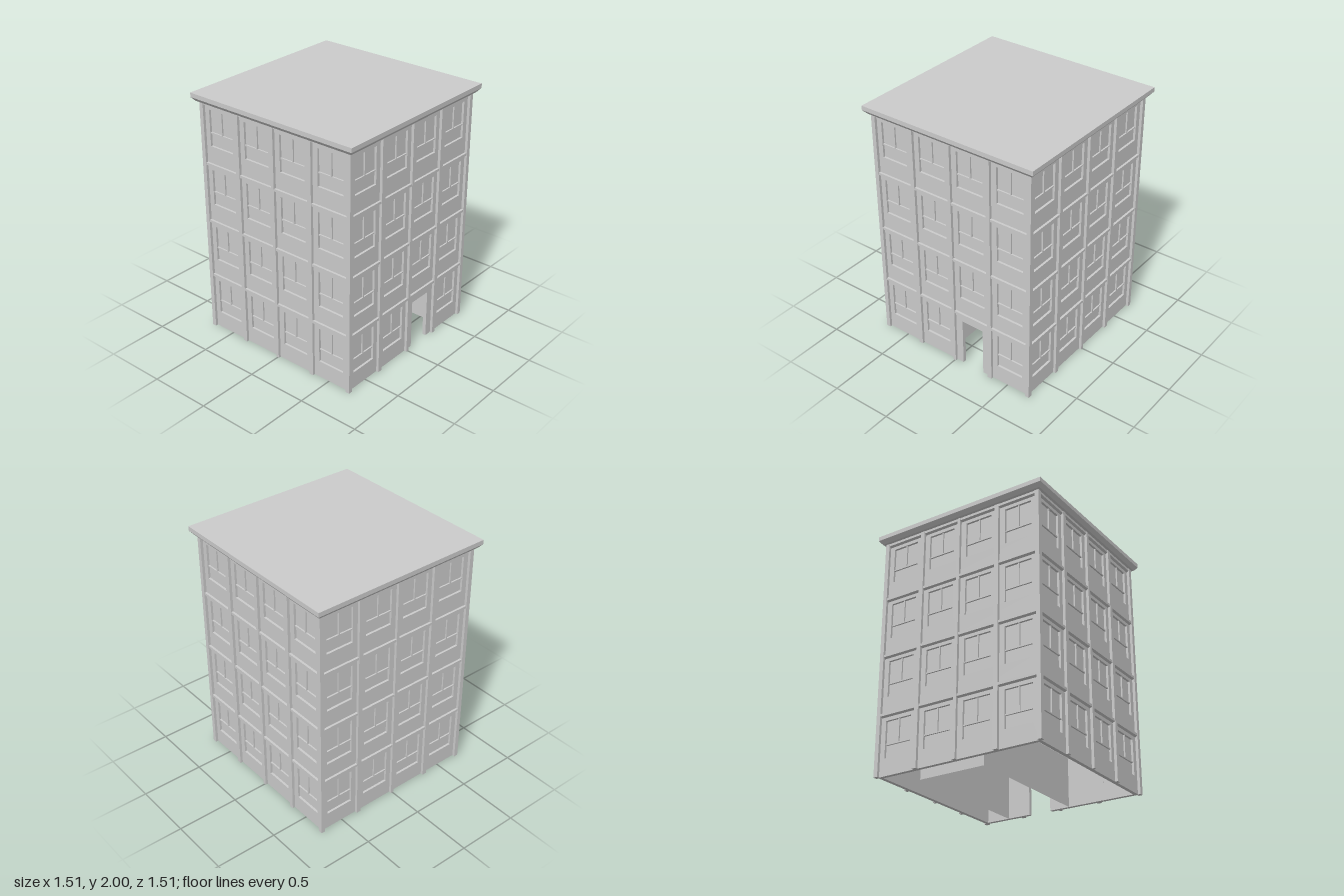
import * as THREE from 'three';

const mat = new THREE.MeshStandardMaterial({ color: 0xcccccc, flatShading: true });
const shellMat = new THREE.MeshStandardMaterial({ color: 0xcccccc, flatShading: true, side: THREE.DoubleSide });

const OUT = 0.712;   // pilaster face
const WALL = 0.69;   // wall panel face
const INNER = 0.66;  // inside of the wall
const COLS = [-0.522, -0.172, 0.17, 0.52];
const SILLS = [0.137, 0.62, 1.103, 1.588];
const BANDS = [0.456, 0.936, 1.42, 1.905];
const WIN = { w: 0.23, h: 0.29, rail: 0.105 };
const DOOR = { x0: 0.07, x1: 0.264, h: 0.4, col: 2 };

function add(parent, name, geometry, x = 0, y = 0, z = 0, material = mat) {
  const mesh = new THREE.Mesh(geometry, material);
  mesh.name = name;
  mesh.position.set(x, y, z);
  parent.add(mesh);
  return mesh;
}

// Box given by its lower and upper corners
function block(parent, name, x0, x1, y0, y1, z0, z1) {
  return add(parent, name, new THREE.BoxGeometry(x1 - x0, y1 - y0, z1 - z0),
    (x0 + x1) / 2, (y0 + y1) / 2, (z0 + z1) / 2);
}

// Wall slab pierced by the windows, with an optional doorway notch
function wallGeometry(hasDoor) {
  const e = 0.685, top = 1.95;
  const pts = [[-e, 0]];
  if (hasDoor) pts.push([DOOR.x0, 0], [DOOR.x0, DOOR.h], [DOOR.x1, DOOR.h], [DOOR.x1, 0]);
  pts.push([e, 0], [e, top], [-e, top]);
  const shape = new THREE.Shape(pts.map(p => new THREE.Vector2(...p)));
  SILLS.forEach((y, row) => COLS.forEach((x, col) => {
    if (hasDoor && row === 0 && col === DOOR.col) return;
    const a = x - WIN.w / 2, b = x + WIN.w / 2;
    shape.holes.push(new THREE.Path([
      new THREE.Vector2(a, y), new THREE.Vector2(a, y + WIN.h),
      new THREE.Vector2(b, y + WIN.h), new THREE.Vector2(b, y)]));
  }));
  return new THREE.ExtrudeGeometry(shape, { depth: WALL - INNER, bevelEnabled: false });
}

// Horizontal band with a sloped underside, running along x
function bandGeometry() {
  const d = OUT - 0.004 - WALL;
  const profile = new THREE.Shape([[-0.005, 0], [0, 0], [d, 0.01], [d, 0.03], [-0.005, 0.03]]
    .map(p => new THREE.Vector2(...p)));
  const g = new THREE.ExtrudeGeometry(profile, { depth: 1.37, bevelEnabled: false });
  g.translate(0, 0, -0.685);
  return g.rotateY(-Math.PI / 2);
}

// Recessed sash: pane, horizontal rail and upper mullion
function sashWindow(x, y) {
  const win = new THREE.Group();
  win.name = 'window';
  const z0 = 0.672, z1 = 0.684, half = WIN.w / 2;
  block(win, 'pane', -half, half, 0, WIN.h, 0.664, z0);
  block(win, 'rail', -half, half, WIN.rail - 0.005, WIN.rail + 0.005, z0, z1);
  block(win, 'mullion', -0.005, 0.005, WIN.rail + 0.005, WIN.h, z0, z1);
  win.position.set(x, y, 0);
  return win;
}

// One facade, facing +z before it is turned into place
function facade(hasDoor) {
  const side = new THREE.Group();
  add(side, 'wall', wallGeometry(hasDoor), 0, 0, INNER);
  BANDS.forEach(y => add(side, 'floorBand', bandGeometry(), 0, y, WALL));
  [[-0.365, -0.329], [-0.015, 0.01], [0.324, 0.36]].forEach(([a, b]) =>
    block(side, 'pilaster', a, b, 0, 1.94, WALL - 0.005, OUT));
  SILLS.forEach((y, row) => COLS.forEach((x, col) => {
    if (!(hasDoor && row === 0 && col === DOOR.col)) side.add(sashWindow(x, y));
  }));
  return side;
}

// Square frustum used for the cornice layers
function squareLayer(halfTop, halfBottom, height) {
  const r = Math.SQRT2;
  return new THREE.CylinderGeometry(halfTop * r, halfBottom * r, height, 4).rotateY(Math.PI / 4);
}

export function createModel() {
  const model = new THREE.Group();
  model.name = 'apartmentBuilding';

  // Four facades, the doorway on the left (+x) side
  ['frontFacade', 'leftFacade', 'backFacade', 'rightFacade'].forEach((name, i) => {
    const side = facade(i === 1);
    side.name = name;
    side.rotation.y = i * Math.PI / 2;
    model.add(side);
  });

  // Corner pilasters
  for (const sx of [-1, 1]) for (const sz of [-1, 1]) {
    const c = (0.678 + OUT) / 2, w = OUT - 0.678;
    add(model, 'cornerPilaster', new THREE.BoxGeometry(w, 1.94, w), sx * c, 0.97, sz * c);
  }

  // Cornice and flat roof
  add(model, 'corniceMoulding', squareLayer(0.755, 0.73, 0.03), 0, 1.95, 0);
  add(model, 'roofSlab', squareLayer(0.755, 0.755, 0.035), 0, 1.9825, 0);

  // Entrance hall behind the doorway, without a floor
  const hall = new THREE.Group();
  hall.name = 'entranceHall';
  const x0 = -0.49, x1 = INNER, z0 = -0.46, z1 = 0.1, h = DOOR.h;
  const cx = (x0 + x1) / 2, cz = (z0 + z1) / 2;
  const long = () => new THREE.PlaneGeometry(x1 - x0, h);
  add(hall, 'hallSide', long(), cx, h / 2, z0, shellMat);
  add(hall, 'hallSide', long().rotateY(Math.PI), cx, h / 2, z1, shellMat);
  add(hall, 'hallEnd', new THREE.PlaneGeometry(z1 - z0, h).rotateY(Math.PI / 2), x0, h / 2, cz, shellMat);
  add(hall, 'hallCeiling', new THREE.PlaneGeometry(x1 - x0, z1 - z0).rotateX(Math.PI / 2), cx, h, cz, shellMat);
  model.add(hall);

  return model;
}
